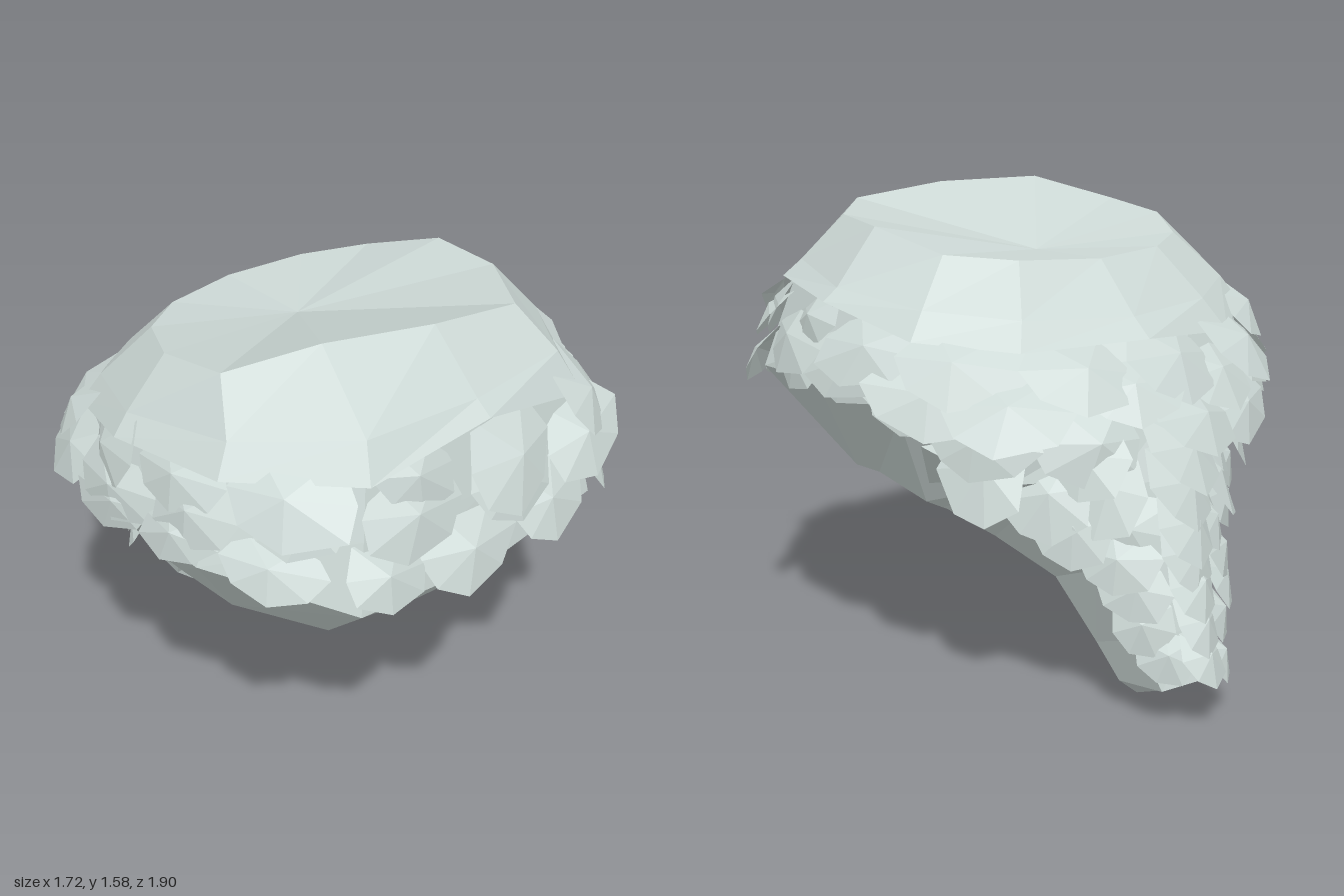
import * as THREE from 'three';

const V = (p) => new THREE.Vector3(...p);

// Uneven dished rim of the crown, from the front towards +x and round
const CROWN = [
  [0, 1.57, .56], [.34, 1.53, .57], [.54, 1.51, .3], [.58, 1.5, .02], [.48, 1.43, -.22], [.28, 1.41, -.34],
  [0, 1.4, -.39], [-.28, 1.41, -.33], [-.46, 1.43, -.2], [-.58, 1.47, .03], [-.57, 1.5, .28], [-.34, 1.58, .45],
];
// Half cross-sections, front column to back column; mirrored across x = 0
const BODY = [
  [[0, 1.4, .74], [.4, 1.4, .7], [.65, 1.36, .4], [.72, 1.32, .02], [.6, 1.28, -.29], [.36, 1.25, -.47], [0, 1.24, -.56]],
  [[0, 1.12, .8], [.46, 1.12, .76], [.73, 1.14, .43], [.77, 1.14, .03], [.67, 1.07, -.32], [.44, 1.0, -.56], [0, 1.02, -.71]],
  [[0, .88, .84], [.5, .9, .8], [.79, 1.01, .42], [.79, 1.03, .05], [.67, .95, -.26], [.45, .77, -.54], [0, .78, -.76]],
  [[0, .58, .55], [.35, .6, .5], [.54, .66, .26], [.57, .69, .05], [.53, .64, -.18], [.34, .55, -.29], [0, .62, -.22]],
];
const TAIL = [
  [[0, .67, -.1], [.51, .64, -.19], [.63, .87, -.32], [0, 1.0, -.71]],
  [[0, .56, -.29], [.36, .53, -.32], [.39, .7, -.56], [0, .78, -.78]],
  [[0, .42, -.45], [.23, .41, -.47], [.24, .5, -.69], [0, .55, -.83]],
  [[0, .17, -.55], [.14, .2, -.57], [.15, .28, -.79], [0, .32, -.88]],
  [[0, 0, -.61], [.1, .08, -.64], [.1, .12, -.85], [0, .16, -.92]],
];

let seed = 7;
const rnd = (a, b) => {
  seed = (seed * 16807) % 2147483647;
  return a + (b - a) * (seed / 2147483647);
};

const ring = (half) => [
  ...half.map(V),
  ...half.slice(1, -1).reverse().map(([x, y, z]) => V([-x, y, z])),
];

function faceted(tris) {
  const g = new THREE.BufferGeometry().setFromPoints(tris);
  g.computeVertexNormals();
  return g;
}

// Skin a stack of rings, with optional end fans
function loft(rings, top, bottom) {
  const t = [], n = rings[0].length, last = rings[rings.length - 1];
  for (let c = 0; c < n; c++) {
    const e = (c + 1) % n;
    for (let r = 0; r < rings.length - 1; r++) {
      const a = rings[r], b = rings[r + 1];
      t.push(a[c], b[c], a[e], a[e], b[c], b[e]);
    }
    if (top) t.push(top, rings[0][c], rings[0][e]);
    if (bottom) t.push(bottom, last[e], last[c]);
  }
  return faceted(t);
}

// Point on a table at fractional row and column; a negative column mirrors x
function sample(table, row, col) {
  const k = Math.abs(col);
  const r = Math.min(Math.max(Math.floor(row), 0), table.length - 2);
  const c = Math.min(Math.floor(k), table[0].length - 2);
  const a = V(table[r][c]).lerp(V(table[r][c + 1]), k - c);
  const b = V(table[r + 1][c]).lerp(V(table[r + 1][c + 1]), k - c);
  const p = a.lerp(b, row - r);
  if (col < 0) p.x *= -1;
  return p;
}

// Ridged leaf-shaped tuft lying on the surface, its tip lifted outward
const LEAF = [[-.3, 0], [.3, 0], [.5, .42], [.4, .78], [.06, 1], [-.36, .82], [-.5, .45]];
function tuft(table, row, col, width, length, lift, centre) {
  const p = sample(table, row, col);
  const down = sample(table, row + .15, col).sub(p).normalize();
  const side = sample(table, row, col + (col > 0 ? -.1 : .1)).sub(p);
  const out = new THREE.Vector3().crossVectors(side, down).normalize();
  if (out.dot(p.clone().sub(centre)) < 0) out.negate();
  down.addScaledVector(out, lift).normalize();
  const across = new THREE.Vector3().crossVectors(down, out).normalize();
  down.addScaledVector(across, rnd(-.2, .2)).normalize();
  out.crossVectors(across, down).normalize();
  const at = (u, v, w) => p.clone().addScaledVector(across, u * width)
    .addScaledVector(down, v * length).addScaledVector(out, w);
  const edge = LEAF.map(([u, v]) => at(u * rnd(.85, 1.12), v, -.02));
  const ridge = at(rnd(-.08, .08), .5, .025);
  const t = [];
  edge.forEach((q, i) => t.push(ridge, edge[(i + 1) % edge.length], q));
  // Orient faces outward
  const n = new THREE.Vector3().crossVectors(t[1].clone().sub(t[0]), t[2].clone().sub(t[0]));
  if (n.dot(out) < 0) for (let i = 0; i < t.length; i += 3) [t[i + 1], t[i + 2]] = [t[i + 2], t[i + 1]];
  return faceted(t);
}

export function createModel() {
  const group = new THREE.Group();
  const mat = new THREE.MeshStandardMaterial({ color: 0xccd8d5, side: THREE.DoubleSide });
  mat.name = 'pale grey green';
  const add = (geo, name, parent = group) => {
    const m = new THREE.Mesh(geo, mat);
    m.name = name;
    parent.add(m);
  };

  // Main mass with flat underside
  const rings = BODY.map(ring);
  add(loft(rings, null, V([0, .65, .18])), 'body');

  // Dished crown shell with a ragged overhanging edge
  const flare = rings[0].map((q, i) => {
    const e = q.clone().lerp(rings[1][i], rnd(.15, .5));
    e.x *= 1.05;
    e.z *= 1.06;
    return e;
  });
  add(loft([CROWN.map(V), rings[0], flare], V([0, 1.39, -.04])), 'crown');

  // Tapering tail at the back
  add(loft(TAIL.map(ring), null, V([0, .07, -.77])), 'tail');

  // Overlapping rows of tufts around the body: row, count, width, length, lift
  const tufts = new THREE.Group();
  tufts.name = 'bodyTufts';
  group.add(tufts);
  const centre = V([0, .95, 0]);
  [
    [.1, 14, .36, .3, .2],
    [.5, 15, .38, .3, .22],
    [.98, 17, .33, .25, .24],
  ].forEach(([row, count, w, l, lift], k) => {
    for (let i = 0; i < count; i++) {
      const col = -6 + (12 * (i + .5 * (k % 2) + .25)) / count;
      const s = rnd(.82, 1.15);
      // Flatter and shorter at the flanks, flared at the corners
      const flank = Math.sin((col * Math.PI) / 6) ** 2;
      const corner = Math.sin((col * Math.PI) / 3) ** 2;
      add(tuft(BODY, row + rnd(-.1, .1), col, w * s, l * s * (1 - .25 * flank),
        lift * (1.3 - .4 * flank) + .14 * corner + rnd(-.1, .14), centre), 'tuft', tufts);
    }
  });

  // Tufts down the outer face of the tail
  const tailTufts = new THREE.Group();
  tailTufts.name = 'tailTufts';
  group.add(tailTufts);
  const outer = TAIL.map((s) => [s[3], s[2]]);
  const inside = V([0, .45, -.35]);
  for (let k = 0; k < 7; k++) {
    const row = .05 + k * .48, n = k < 3 ? 5 : 3;
    for (let i = 0; i < n; i++) {
      const col = (i / (n - 1) - .5) * (k < 3 ? 1.75 : 1.5) + .03;
      const s = 1 - k * .06;
      add(tuft(outer, row + rnd(-.1, .1), col, .28 * s, .31 * s, rnd(.2, .52), inside), 'tuft', tailTufts);
    }
  }
  return group;
}
